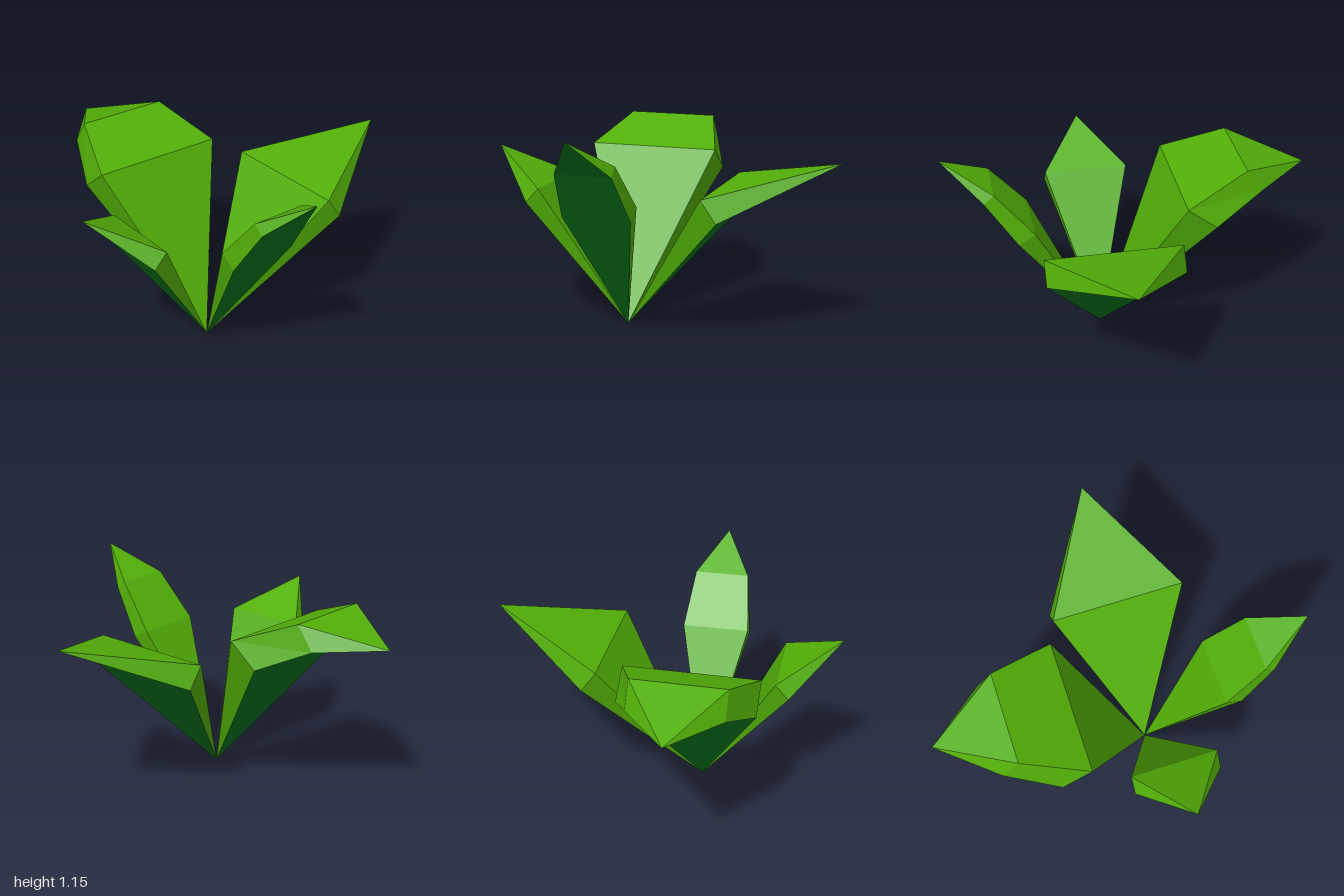
import * as THREE from 'three';

const leafGreen = new THREE.MeshStandardMaterial({ color: 0x52ae08 });
leafGreen.name = 'leafGreen';
const undersideGreen = new THREE.MeshStandardMaterial({ color: 0x08701b });
undersideGreen.name = 'undersideGreen';

// Flat-shaded mesh from a list of triangles, dropping collapsed ones
function facets(name, triangles, material) {
  const solid = triangles.filter(([a, b, c]) => new THREE.Triangle(a, b, c).getArea() > 1e-6);
  const geometry = new THREE.BufferGeometry().setFromPoints(solid.flat());
  geometry.computeVertexNormals();
  const mesh = new THREE.Mesh(geometry, material);
  mesh.name = name;
  return mesh;
}

// Leaf growing along +z from the origin.
// Section: [upper reach, upper height, lower reach, lower height, half width]
function makeLeaf(name, yaw, sections, tip) {
  const stations = [[0, 0, 0, 0, 0], ...sections, [...tip, ...tip, 0]];
  const rings = stations.map(([uz, uy, lz, ly, w]) => [
    new THREE.Vector3(-w, uy, uz),
    new THREE.Vector3(-w, ly, lz),
    new THREE.Vector3(w, ly, lz),
    new THREE.Vector3(w, uy, uz),
  ]);
  const light = [], dark = [];
  for (let i = 0; i < rings.length - 1; i++) {
    for (let k = 0; k < 4; k++) {
      const n = (k + 1) % 4;
      const p = rings[i][k], q = rings[i][n], r = rings[i + 1][n], s = rings[i + 1][k];
      (k === 1 ? dark : light).push([p, q, r], [p, r, s]);
    }
  }
  const leaf = new THREE.Group();
  leaf.name = name;
  leaf.add(facets(name + 'Top', light, leafGreen), facets(name + 'Underside', dark, undersideGreen));
  leaf.rotation.y = yaw;
  return leaf;
}

export function createModel() {
  const plant = new THREE.Group();
  plant.name = 'leafyPlant';

  // All four leaves share one root point
  const leaves = new THREE.Group();
  leaves.name = 'leaves';
  leaves.position.set(-0.212, 0, 0.16);
  leaves.add(
    makeLeaf('frontLeaf', 0.014, [
      [0.37, 0.752, 0.462, 0.697, 0.185],
      [0.575, 0.998, 0.63, 0.952, 0.15],
    ], [0.84, 1.155]),
    makeLeaf('backLeaf', Math.PI, [
      [0.425, 0.915, 0.585, 0.79, 0.363],
      [0.77, 1.052, 0.86, 0.922, 0.248],
    ], [1.16, 0.938]),
    makeLeaf('leftLeaf', Math.PI / 2, [[0.524, 0.812, 0.607, 0.695, 0.366]], [1.163, 0.967]),
    makeLeaf('rightLeaf', -Math.PI / 2, [[0.415, 0.778, 0.487, 0.697, 0.235]], [0.743, 0.957]),
  );
  plant.add(leaves);
  return plant;
}
